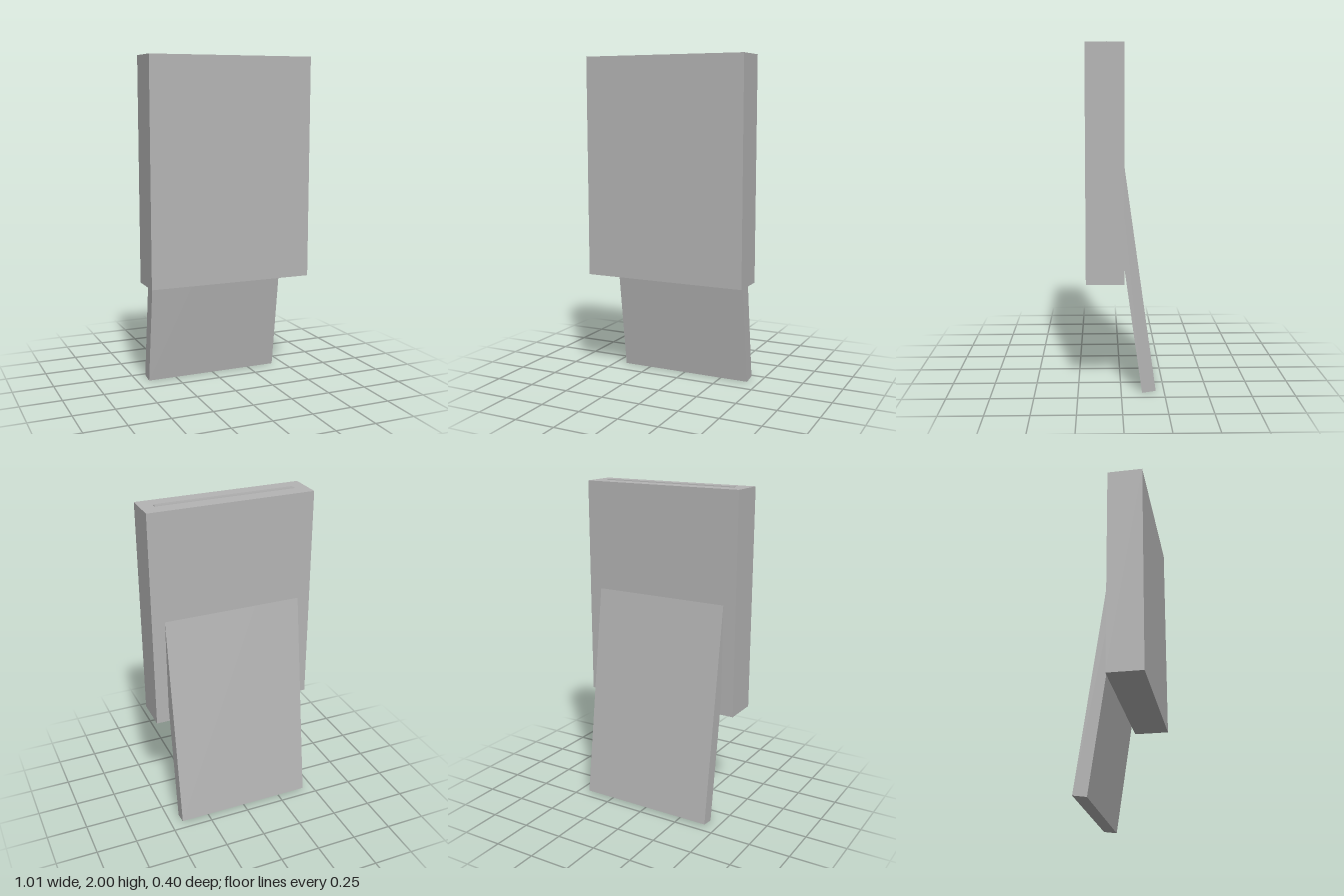
import * as THREE from 'three';

export function createModel() {
  const group = new THREE.Group();
  const grey = new THREE.MeshStandardMaterial({ color: 0xb4b4b4 });
  grey.name = 'grey';

  const addBox = (name, size, position, tilt = 0) => {
    const mesh = new THREE.Mesh(new THREE.BoxGeometry(...size), grey);
    mesh.name = name;
    mesh.position.set(...position);
    mesh.rotation.x = tilt;
    group.add(mesh);
  };

  // Upright thick panel
  addBox('panel', [1.014, 1.334, 0.215], [0, 1.327, 0.0925]);

  // Thin leaning board that passes through the panel; its top edge just breaks the surface
  addBox('leaningBoard', [0.856, 2.008, 0.08], [0, 1, -0.0213], 0.139);

  return group;
}
